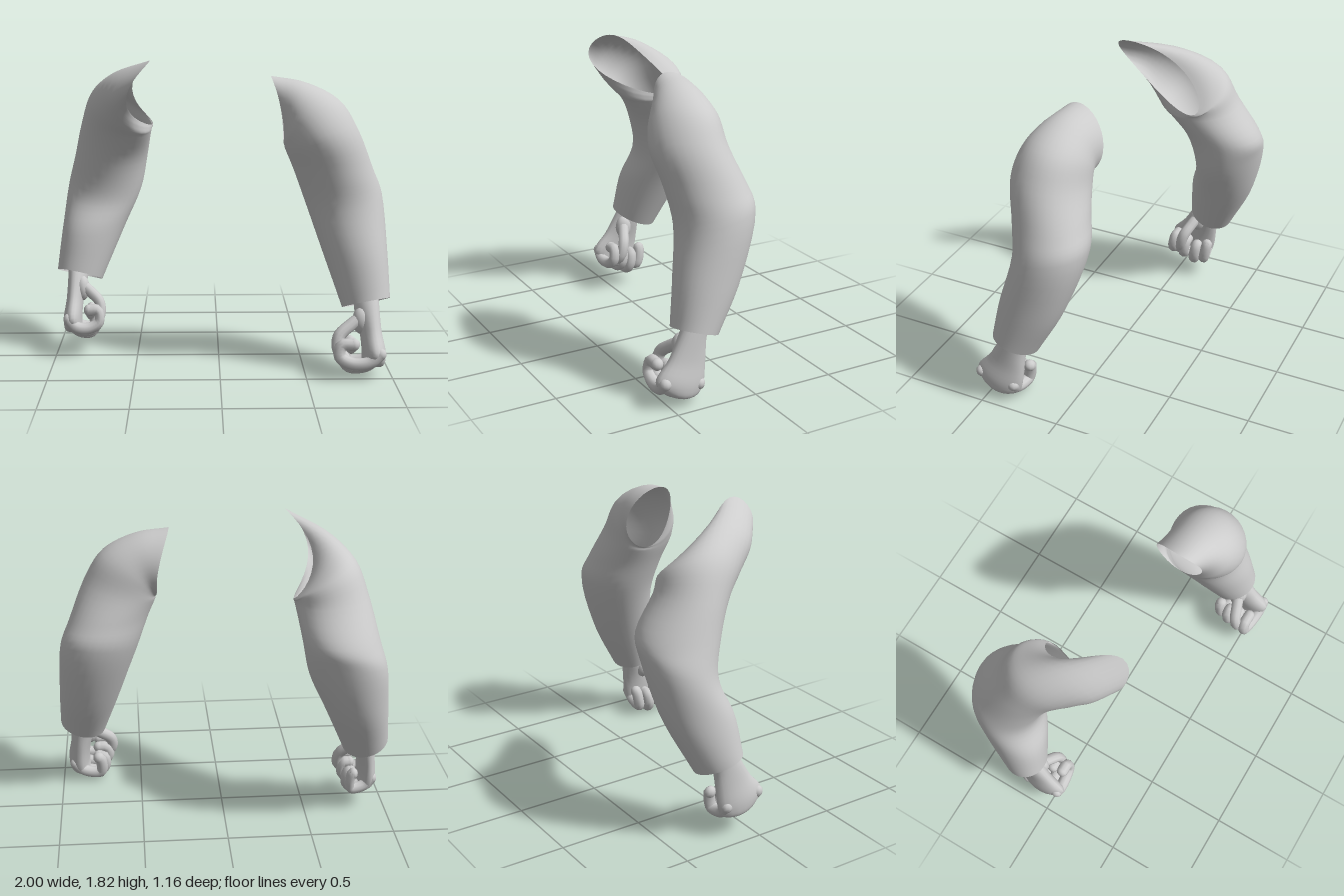
import * as THREE from 'three';

const skin = new THREE.MeshStandardMaterial({ color: 0xcccccc, side: THREE.DoubleSide });
skin.name = 'light grey';

const V = (p) => new THREE.Vector3(...p);

// Skin through rings, each given by its outer, front, inner and back point
function loft(rings, steps = 32, sides = 32) {
  const tracks = [0, 1, 2, 3].map((k) => new THREE.CatmullRomCurve3(rings.map((r) => V(r[k]))));
  const pos = [], index = [];
  for (let i = 0; i <= steps; i++) {
    const [o, f, n, b] = tracks.map((c) => c.getPoint(i / steps).toArray());
    for (let j = 0; j < sides; j++) {
      const t = (j / sides) * Math.PI * 2;
      for (let k = 0; k < 3; k++) {
        pos.push((o[k] + f[k] + n[k] + b[k]) / 4
          + ((o[k] - n[k]) / 2) * Math.cos(t)
          + ((f[k] - b[k]) / 2) * Math.sin(t)
          + ((o[k] + n[k] - f[k] - b[k]) / 4) * Math.cos(2 * t));
      }
      if (i < steps) {
        const a = i * sides + j, c = i * sides + ((j + 1) % sides);
        index.push(a, a + sides, c, c, a + sides, c + sides);
      }
    }
  }
  const g = new THREE.BufferGeometry();
  g.setAttribute('position', new THREE.Float32BufferAttribute(pos, 3));
  g.setIndex(index);
  g.computeVertexNormals();
  return g;
}

function add(parent, geometry, name) {
  const m = new THREE.Mesh(geometry, skin);
  m.name = name;
  parent.add(m);
  return m;
}

// Rounded tube for fingers and thumb
function digit(parent, points, radius, name) {
  const g = new THREE.Group();
  g.name = name;
  const path = new THREE.CatmullRomCurve3(points.map(V));
  add(g, new THREE.TubeGeometry(path, 20, radius, 10), name + 'Shaft');
  for (const p of [points[0], points[points.length - 1]]) {
    add(g, new THREE.SphereGeometry(radius, 10, 8), name + 'End').position.set(...p);
  }
  parent.add(g);
}

function makeHand(name) {
  const hand = new THREE.Group();
  hand.name = name;
  // wrist, back of the hand and knuckles
  add(hand, loft([
    [[0.93, 0.50, 0.29], [0.87, 0.50, 0.36], [0.80, 0.50, 0.29], [0.87, 0.49, 0.22]],
    [[0.935, 0.41, 0.33], [0.87, 0.42, 0.41], [0.79, 0.38, 0.33], [0.87, 0.38, 0.255]],
    [[0.945, 0.26, 0.39], [0.88, 0.28, 0.49], [0.82, 0.24, 0.37], [0.89, 0.23, 0.27]],
    [[0.965, 0.13, 0.43], [0.89, 0.17, 0.575], [0.83, 0.13, 0.43], [0.89, 0.10, 0.285]],
    [[0.95, 0.06, 0.43], [0.88, 0.10, 0.54], [0.83, 0.06, 0.42], [0.88, 0.05, 0.31]],
    [[0.89, 0.05, 0.43], [0.88, 0.055, 0.44], [0.87, 0.05, 0.43], [0.88, 0.045, 0.42]],
  ], 24, 20), 'palm');
  // four fingers curling inwards
  const lift = [0.06, 0.03, 0.0, 0.02];
  for (let i = 0; i < 4; i++) {
    const z = 0.535 - 0.07 * i, y = lift[i], x = 0.02 * i;
    digit(hand, [
      [0.92, 0.10 + y, z], [0.86, 0.05 + y, z], [0.76, 0.042 + y, z - 0.01],
      [0.69 + x, 0.08 + y, z - 0.02], [0.70 + x, 0.145 + y, z - 0.03], [0.77, 0.15 + y, z - 0.03],
    ], 0.036, 'finger');
  }
  // thumb crossing in front of the curled fingers
  digit(hand, [
    [0.84, 0.35, 0.38], [0.76, 0.30, 0.41], [0.69, 0.24, 0.44],
    [0.685, 0.17, 0.46], [0.72, 0.12, 0.48],
  ], 0.036, 'thumb');
  // fleshy base of the thumb
  const base = add(hand, new THREE.SphereGeometry(0.06, 14, 10), 'thumbBase');
  base.position.set(0.825, 0.32, 0.385);
  base.scale.set(0.9, 1.3, 0.9);
  return hand;
}

export function createModel() {
  const model = new THREE.Group();
  model.name = 'arms';

  // left sleeve, from cuff to shoulder opening
  add(model, loft([
    [[1.0, 0.44, 0.32], [0.86, 0.455, 0.455], [0.72, 0.385, 0.32], [0.86, 0.37, 0.19]],
    [[0.99, 0.72, 0.21], [0.83, 0.68, 0.415], [0.62, 0.67, 0.22], [0.82, 0.66, 0.035]],
    [[0.965, 1.04, 0.13], [0.74, 0.97, 0.355], [0.505, 1.0, 0.13], [0.75, 1.06, -0.09]],
    [[0.91, 1.18, 0.15], [0.67, 1.18, 0.385], [0.435, 1.19, 0.15], [0.69, 1.2, -0.06]],
    [[0.81, 1.42, 0.20], [0.58, 1.38, 0.43], [0.385, 1.31, 0.17], [0.58, 1.36, -0.015]],
    [[0.70, 1.59, 0.20], [0.49, 1.50, 0.40], [0.382, 1.325, 0.16], [0.52, 1.47, -0.005]],
    [[0.50, 1.695, 0.19], [0.42, 1.53, 0.355], [0.38, 1.33, 0.15], [0.45, 1.51, 0.0]],
    [[0.30, 1.73, 0.17], [0.355, 1.54, 0.29], [0.378, 1.335, 0.14], [0.37, 1.53, -0.015]],
  ]), 'leftSleeve');

  // right sleeve, swung back, with its opening drawn out to a point
  add(model, loft([
    [[-1.0, 0.50, -0.20], [-0.87, 0.515, -0.07], [-0.725, 0.44, -0.20], [-0.86, 0.43, -0.34]],
    [[-0.97, 0.76, -0.28], [-0.80, 0.76, -0.10], [-0.585, 0.76, -0.30], [-0.79, 0.76, -0.50]],
    [[-0.935, 1.02, -0.36], [-0.72, 0.95, -0.16], [-0.48, 1.0, -0.36], [-0.72, 1.08, -0.575]],
    [[-0.89, 1.20, -0.33], [-0.67, 1.18, -0.11], [-0.44, 1.20, -0.34], [-0.66, 1.20, -0.575]],
    [[-0.835, 1.42, -0.22], [-0.61, 1.35, -0.01], [-0.41, 1.37, -0.22], [-0.62, 1.42, -0.43]],
    [[-0.77, 1.60, -0.12], [-0.60, 1.43, 0.07], [-0.405, 1.39, -0.215], [-0.60, 1.55, -0.37]],
    [[-0.64, 1.725, 0.0], [-0.59, 1.52, 0.15], [-0.40, 1.40, -0.22], [-0.56, 1.59, -0.28]],
    [[-0.40, 1.82, 0.22], [-0.54, 1.58, 0.20], [-0.40, 1.41, -0.22], [-0.52, 1.63, -0.12]],
  ]), 'rightSleeve');

  // fists, the right one mirrored and set further back
  model.add(makeHand('leftHand'));
  const right = makeHand('rightHand');
  right.scale.x = -0.82;
  right.position.set(-0.165, 0.08, -0.5);
  model.add(right);

  return model;
}
